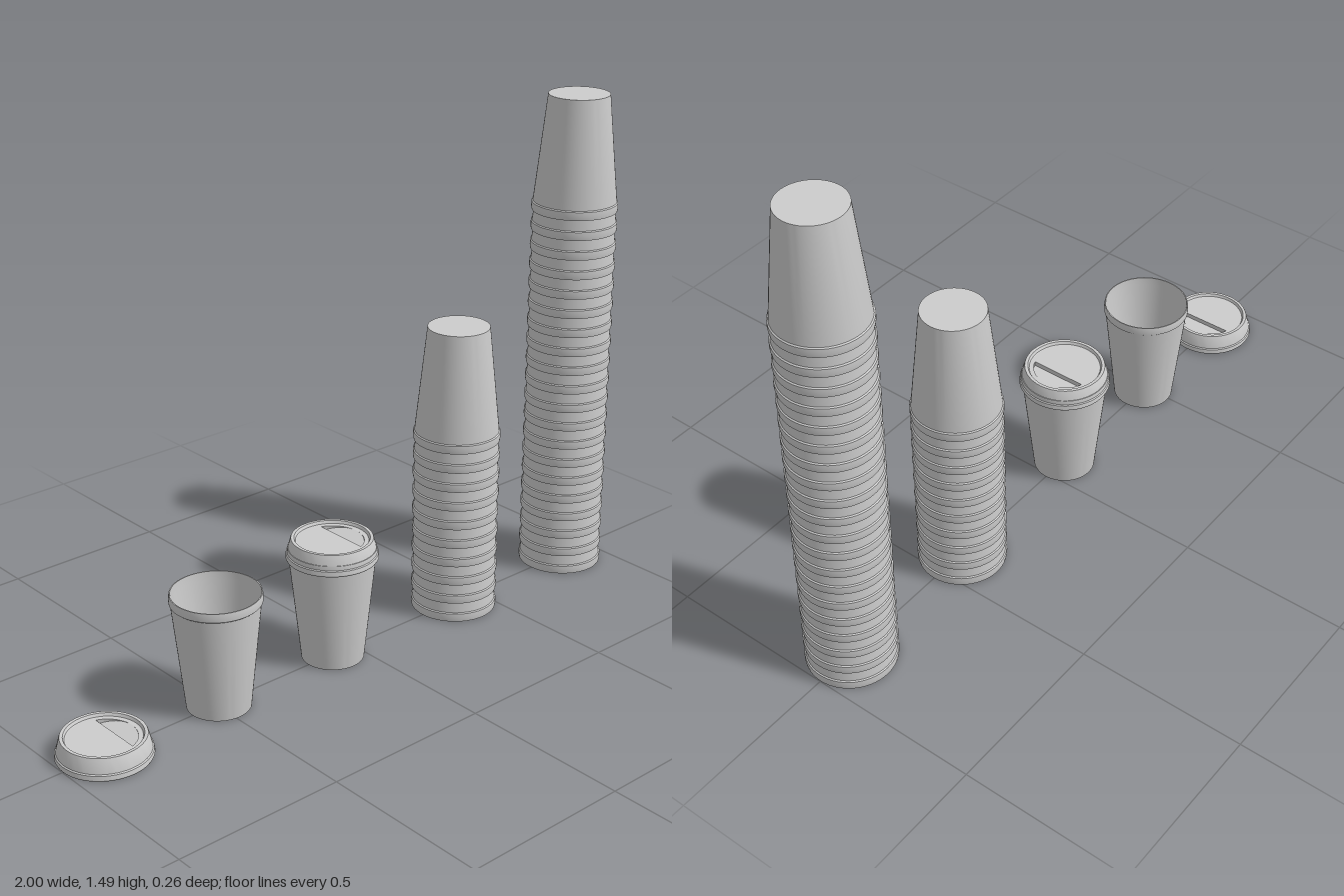
import * as THREE from 'three';
import { toCreasedNormals } from 'three/addons/utils/BufferGeometryUtils.js';

const paperGrey = new THREE.MeshStandardMaterial({ color: 0xcccccc, side: THREE.DoubleSide });
paperGrey.name = 'paperGrey';

const CUP_HEIGHT = 0.345;
const NEST_STEP = 0.06;

// Turned shell from [radius, height] pairs, with sharp profile corners
function turned(profile) {
  const points = profile.map(([r, y]) => new THREE.Vector2(r, y));
  return toCreasedNormals(new THREE.LatheGeometry(points, 56), 0.5);
}

function part(name, geometry) {
  const mesh = new THREE.Mesh(geometry, paperGrey);
  mesh.name = name;
  return mesh;
}

// Thin tapered cup with a banded rim
const cupGeometry = turned([
  [0, 0], [0.09, 0], [0.1235, 0.317], [0.127, 0.32], [0.1275, 0.335],
  [0.126, CUP_HEIGHT], [0.123, CUP_HEIGHT], [0.1215, 0.32], [0.088, 0.005], [0, 0.005],
]);

// Lid skirt, shoulder and raised top ring
const lidShellGeometry = turned([
  [0.13, 0], [0.132, 0.004], [0.1305, 0.016], [0.127, 0.019],
  [0.118, 0.056], [0.116, 0.06], [0.107, 0.06], [0.103, 0.052], [0.1, 0.051],
]);

// Outline of the D-shaped drinking recess
const D_CHORD = 0.032, D_RADIUS = 0.09, LID_TOP = 0.051;
const dAngle = Math.acos(D_CHORD / D_RADIUS);
const dOutline = [];
for (let i = 0; i <= 20; i++) {
  const a = -dAngle + (2 * dAngle * i) / 20;
  dOutline.push(new THREE.Vector2(D_RADIUS * Math.cos(a), D_RADIUS * Math.sin(a)));
}
const recessHeight = (x) => LID_TOP - 0.014 * (1 - (x - D_CHORD) / (D_RADIUS - D_CHORD));

// Flat lid top with the recess cut out
function lidTopGeometry() {
  const shape = new THREE.Shape().absarc(0, 0, 0.1, 0, Math.PI * 2);
  shape.holes.push(new THREE.Path(dOutline));
  return new THREE.ShapeGeometry(shape, 28).rotateX(-Math.PI / 2).translate(0, LID_TOP, 0);
}

// Floor of the recess, ramping up to the edge
function recessFloorGeometry() {
  const g = new THREE.ShapeGeometry(new THREE.Shape(dOutline)).rotateX(-Math.PI / 2);
  const p = g.attributes.position;
  for (let i = 0; i < p.count; i++) p.setY(i, recessHeight(p.getX(i)));
  g.computeVertexNormals();
  return g;
}

// Upright wall around the recess
function recessWallGeometry() {
  const positions = [];
  dOutline.forEach((a, i) => {
    const b = dOutline[(i + 1) % dOutline.length];
    const a0 = [a.x, recessHeight(a.x), -a.y], a1 = [a.x, LID_TOP, -a.y];
    const b0 = [b.x, recessHeight(b.x), -b.y], b1 = [b.x, LID_TOP, -b.y];
    positions.push(...a0, ...a1, ...b1, ...a0, ...b1, ...b0);
  });
  const g = new THREE.BufferGeometry();
  g.setAttribute('position', new THREE.Float32BufferAttribute(positions, 3));
  g.computeVertexNormals();
  return g;
}

const topGeometry = lidTopGeometry();
const floorGeometry = recessFloorGeometry();
const wallGeometry = recessWallGeometry();

function makeLid(name) {
  const lid = new THREE.Group();
  lid.name = name;
  lid.add(
    part('lidShell', lidShellGeometry),
    part('lidTop', topGeometry),
    part('recessFloor', floorGeometry),
    part('recessWall', wallGeometry),
  );
  return lid;
}

// Upside-down cups nested over one another
function makeStack(name, count) {
  const stack = new THREE.Group();
  stack.name = name;
  for (let i = 0; i < count; i++) {
    const cup = part('stackedCup', cupGeometry);
    cup.rotation.x = Math.PI;
    cup.position.y = CUP_HEIGHT + i * NEST_STEP;
    stack.add(cup);
  }
  return stack;
}

export function createModel() {
  const model = new THREE.Group();
  model.name = 'paperCups';

  const looseLid = makeLid('looseLid');
  looseLid.position.x = -0.868;

  const openCup = part('openCup', cupGeometry);
  openCup.position.x = -0.49;

  // Cup with its lid pressed on
  const liddedCup = new THREE.Group();
  liddedCup.name = 'liddedCup';
  const fittedLid = makeLid('fittedLid');
  fittedLid.position.y = 0.314;
  liddedCup.add(part('cup', cupGeometry), fittedLid);
  liddedCup.position.x = -0.078;

  const shortStack = makeStack('shortStack', 10);
  shortStack.position.x = 0.404;
  const tallStack = makeStack('tallStack', 20);
  tallStack.position.x = 0.8725;

  model.add(looseLid, openCup, liddedCup, shortStack, tallStack);
  return model;
}
